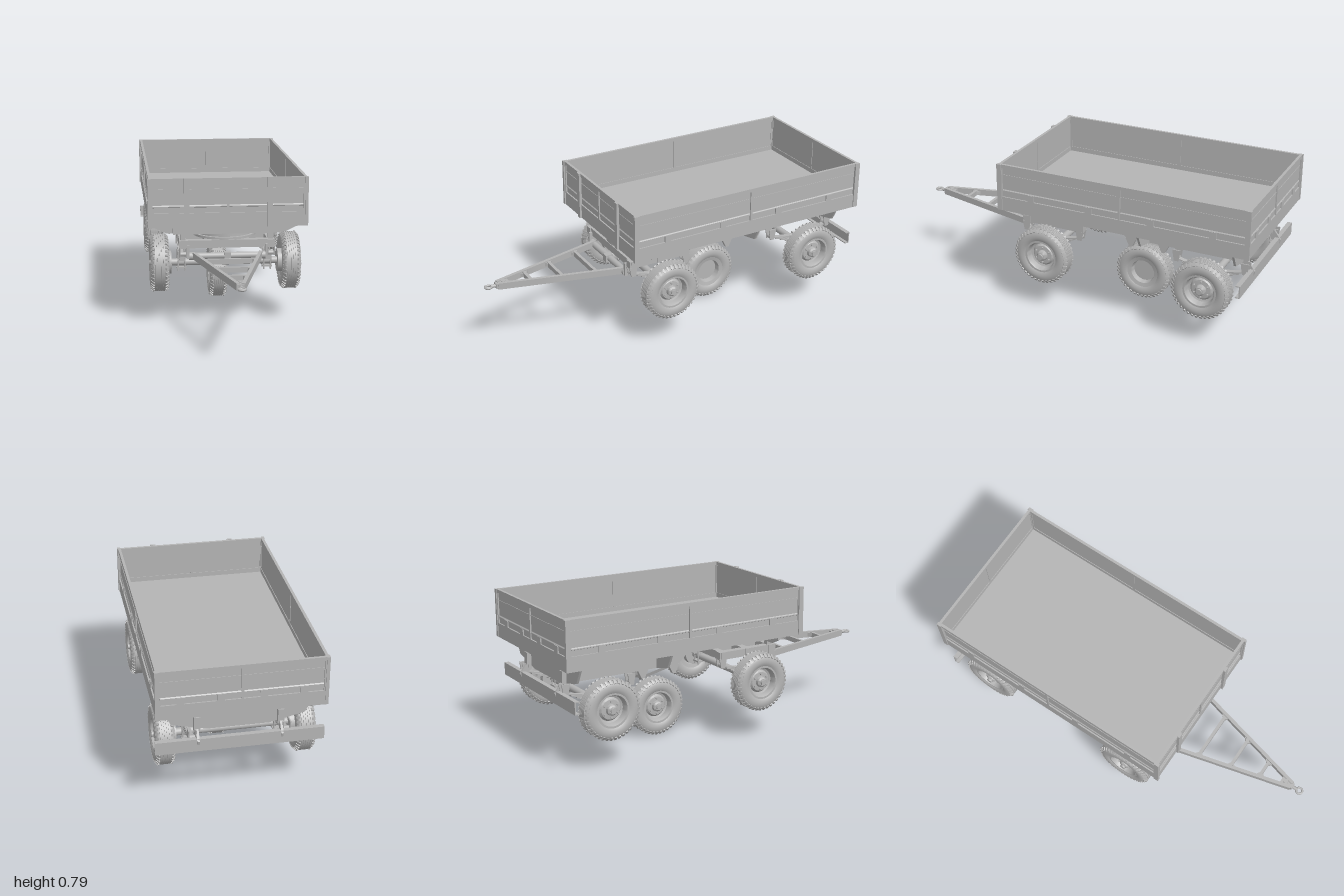
import * as THREE from 'three';
import { mergeGeometries, toCreasedNormals } from 'three/addons/utils/BufferGeometryUtils.js';

const steel = new THREE.MeshStandardMaterial({ color: 0xb4b4b4, side: THREE.DoubleSide });
steel.name = 'grey steel';

function add(parent, name, geo, x = 0, y = 0, z = 0) {
  const m = new THREE.Mesh(geo, steel);
  m.name = name;
  m.position.set(x, y, z);
  parent.add(m);
  return m;
}
const box = (p, name, w, h, d, x, y, z) => add(p, name, new THREE.BoxGeometry(w, h, d), x, y, z);
const sub = (p, name) => { const g = new THREE.Group(); g.name = name; p.add(g); return g; };

// Box beam between two points
function beam(p, name, a, b, w, h) {
  const A = new THREE.Vector3(...a), B = new THREE.Vector3(...b);
  const m = box(p, name, w, h, A.distanceTo(B), 0, 0, 0);
  m.position.copy(A).add(B).multiplyScalar(0.5);
  m.lookAt(B);
  return m;
}
// Cylinder along x, y or z
function rod(p, name, r, len, axis, x, y, z, seg = 20) {
  const g = new THREE.CylinderGeometry(r, r, len, seg);
  if (axis === 'x') g.rotateZ(Math.PI / 2);
  if (axis === 'z') g.rotateX(Math.PI / 2);
  return add(p, name, g, x, y, z);
}
const poly = pts => new THREE.Shape(pts.map(q => new THREE.Vector2(...q)));
// Outline in (z, y), thick along x
function sidePlate(p, name, pts, t, x) {
  const g = new THREE.ExtrudeGeometry(poly(pts), { depth: t, bevelEnabled: false });
  return add(p, name, g.translate(0, 0, -t / 2).rotateY(-Math.PI / 2), x);
}
// Outline in (x, y), thick along z
function crossPlate(p, name, pts, t, z) {
  const g = new THREE.ExtrudeGeometry(poly(pts), { depth: t, bevelEnabled: false });
  return add(p, name, g.translate(0, 0, -t / 2), 0, 0, z);
}

// Pressed-steel wall facing local +z, outer face at z = 0
function wall(body, name, w, x, z, turn, blocks) {
  const g = sub(body, name);
  g.position.set(x, 0, z);
  g.rotation.y = turn;
  box(g, 'wallSheet', w, 0.205, 0.004, 0, 0.682, -0.009);
  box(g, 'topRail', w, 0.018, 0.014, 0, 0.778, -0.007);
  box(g, 'bottomRail', w, 0.026, 0.014, 0, 0.597, -0.007);
  box(g, 'sill', w, 0.05, 0.012, 0, 0.56, -0.006);
  for (const s of [-1, 1]) box(g, 'endStile', 0.018, 0.25, 0.014, s * (w / 2 - 0.009), 0.661, -0.007);
  box(g, 'middleStile', 0.012, 0.16, 0.014, 0, 0.69, -0.007);
  for (const s of [-1, 1]) {
    const half = w / 2 - 0.026, cx = s * (half / 2 + 0.007);
    // Folded ridge along the lower part of each panel
    const fold = poly([[-0.011, 0.636], [-0.003, 0.64], [-0.003, 0.645], [-0.011, 0.655]]);
    const fg = new THREE.ExtrudeGeometry(fold, { depth: half, bevelEnabled: false });
    add(g, 'panelFold', fg.translate(0, 0, -half / 2).rotateY(-Math.PI / 2), cx).scale.z = 1;
    box(g, 'upperCrease', half, 0.003, 0.003, cx, 0.73, -0.006);
    if (blocks) for (const k of [-0.25, 0.25]) box(g, 'latchBlock', 0.035, 0.034, 0.01, cx + k * half, 0.627, -0.005);
  }
}

// Wheel with its axle on x and the dish towards +x
function makeWheel() {
  const g = new THREE.Group();
  g.name = 'wheel';
  const lathe = (pts, crease) => {
    const l = new THREE.LatheGeometry(pts.map(q => new THREE.Vector2(...q)), 48).rotateZ(-Math.PI / 2);
    return crease ? toCreasedNormals(l, 0.5) : l;
  };
  add(g, 'tyre', lathe([[0.082, -0.036], [0.09, -0.044], [0.108, -0.049], [0.125, -0.047], [0.139, -0.041],
    [0.145, -0.034], [0.147, -0.02], [0.147, 0.02], [0.145, 0.034], [0.139, 0.041], [0.125, 0.047],
    [0.108, 0.049], [0.09, 0.044], [0.082, 0.036]]));
  for (const x of [-0.022, -0.011, 0, 0.011, 0.022])
    add(g, 'treadRib', lathe([[0.146, x - 0.0045], [0.15, x - 0.004], [0.15, x + 0.004], [0.146, x + 0.0045]], true));
  // Shoulder lugs
  const lugs = [], n = 40;
  for (let i = 0; i < n; i++) for (const s of [-1, 1]) {
    const b = new THREE.BoxGeometry(0.022, 0.008, 0.011);
    b.rotateZ(-s * 0.85).translate(s * 0.037, 0.142, 0);
    lugs.push(b.rotateX((i + (s > 0 ? 0.5 : 0)) / n * Math.PI * 2));
  }
  add(g, 'treadLugs', mergeGeometries(lugs));
  add(g, 'rim', lathe([[0.0, -0.008], [0.06, -0.008], [0.066, -0.036], [0.088, -0.041], [0.088, -0.036],
    [0.08, -0.03], [0.08, 0.03], [0.088, 0.036], [0.088, 0.042], [0.078, 0.042], [0.072, 0.03], [0.07, 0.008],
    [0.06, 0.004], [0.05, 0.016], [0.028, 0.018], [0.026, 0.034], [0.018, 0.04], [0, 0.04]], true));
  rod(g, 'hubCap', 0.014, 0.012, 'x', 0.044, 0, 0);
  for (let i = 0; i < 6; i++) {
    const a = i / 6 * Math.PI * 2;
    rod(g, 'wheelNut', 0.005, 0.012, 'x', 0.021, Math.cos(a) * 0.041, Math.sin(a) * 0.041, 6);
  }
  return g;
}

// Axle with leaf springs, hangers and two wheels
function axleSet(root, name, z, half, top, wheel) {
  const g = sub(root, name);
  rod(g, 'axleTube', 0.019, 0.6, 'x', 0, 0.305, z);
  for (const s of [-1, 1]) {
    const w = wheel.clone();
    w.position.set(s * 0.341, 0.305, z);
    if (s < 0) w.rotation.y = Math.PI;
    g.add(w);
    rod(g, 'brakeDrum', 0.06, 0.03, 'x', s * 0.293, 0.305, z, 32);
    const x = s * 0.225;
    for (let i = 0; i < 5; i++) {
      const L = half * (1 - i * 0.17), hi = [], lo = [];
      for (let k = -6; k <= 6; k++) {
        const u = k / 6 * L, y = 0.36 - i * 0.0075 + 0.025 * (u / half) ** 2;
        hi.push([z + u, y]);
        lo.unshift([z + u, y - 0.006]);
      }
      sidePlate(g, 'springLeaf', [...hi, ...lo], 0.026, x);
    }
    box(g, 'springSeat', 0.04, 0.012, 0.06, x, 0.32, z);
    box(g, 'clampPlate', 0.05, 0.008, 0.06, x, 0.28, z);
    for (const dx of [-0.018, 0.018]) for (const dz of [-0.024, 0.024])
      rod(g, 'clampBolt', 0.004, 0.105, 'y', x + dx, 0.315, z + dz, 8);
    for (const e of [-1, 1]) {
      const c = z + e * half;
      rod(g, 'springEye', 0.012, 0.036, 'x', x, 0.383, c, 12);
      for (const dx of [-0.017, 0.017])
        sidePlate(g, 'springHanger', [[c - 0.022, top], [c - 0.012, 0.37], [c + 0.012, 0.37], [c + 0.022, top]], 0.006, x + dx);
    }
  }
}

export function createModel() {
  const root = new THREE.Group();
  root.name = 'farmTrailer';

  // Cargo box
  const body = sub(root, 'cargoBox');
  box(body, 'floor', 0.79, 0.008, 1.34, 0, 0.581, -0.318);
  wall(body, 'frontWall', 0.8, 0, 0.355, 0, false);
  wall(body, 'rearWall', 0.8, 0, -0.992, Math.PI, true);
  wall(body, 'leftWall', 1.34, 0.4, -0.318, Math.PI / 2, true);
  wall(body, 'rightWall', 1.34, -0.4, -0.318, -Math.PI / 2, true);
  for (const s of [-1, 1]) {
    box(body, 'frontPost', 0.027, 0.253, 0.014, s * 0.21, 0.662, 0.359);
    for (const z of [0.349, -0.983]) box(body, 'cornerPost', 0.016, 0.25, 0.026, s * 0.397, 0.662, z);
    box(body, 'floorRail', 0.03, 0.042, 1.32, s * 0.2, 0.556, -0.318);
  }
  for (let i = 0; i < 7; i++) box(body, 'floorJoist', 0.78, 0.035, 0.022, 0, 0.56, 0.26 - i * 0.195);

  // Stepped chassis
  const frame = sub(root, 'chassis');
  for (const s of [-1, 1]) {
    sidePlate(frame, 'chassisRail', [[0.28, 0.53], [0.28, 0.49], [-0.21, 0.49], [-0.28, 0.425], [-0.93, 0.425],
      [-0.93, 0.49], [-0.29, 0.49], [-0.24, 0.53]], 0.03, s * 0.2);
    box(frame, 'rearUpright', 0.03, 0.13, 0.022, s * 0.2, 0.475, -0.912);
    for (const z of [-0.39, -0.66]) box(frame, 'bodyMount', 0.03, 0.05, 0.038, s * 0.2, 0.511, z);
    for (const z of [-0.3, -0.48])
      sidePlate(frame, 'gusset', [[z - 0.03, 0.425], [z - 0.008, 0.38], [z + 0.008, 0.38], [z + 0.03, 0.425]], 0.02, s * 0.2);
    sidePlate(frame, 'bumperBracket', [[-0.87, 0.43], [-0.93, 0.43], [-0.965, 0.38], [-0.955, 0.34], [-0.935, 0.37]], 0.012, s * 0.2);
    beam(frame, 'diagonalBrace', [s * 0.19, 0.465, -0.29], [s * 0.03, 0.465, -0.56], 0.03, 0.03);
    beam(frame, 'diagonalBrace', [s * 0.19, 0.465, -0.86], [s * 0.03, 0.465, -0.56], 0.03, 0.03);
    rod(frame, 'frontPin', 0.008, 0.03, 'z', s * 0.355, 0.53, 0.29, 12);
  }
  box(frame, 'frontCrossbeam', 0.55, 0.042, 0.04, 0, 0.508, 0.27);
  for (const z of [0.13, -0.02, -0.18]) box(frame, 'crossbeam', 0.4, 0.038, 0.04, 0, 0.51, z);
  for (const z of [-0.29, -0.56, -0.86]) box(frame, 'crossbeam', 0.4, 0.05, 0.035, 0, 0.457, z);
  crossPlate(frame, 'frontOutrigger', [[-0.365, 0.535], [-0.365, 0.512], [-0.31, 0.485], [0.31, 0.485], [0.365, 0.512], [0.365, 0.535]], 0.012, 0.24);
  for (const z of [-0.4, -0.9])
    crossPlate(frame, 'rearOutrigger', [[-0.365, 0.535], [-0.32, 0.45], [-0.15, 0.41], [0.15, 0.41], [0.32, 0.45], [0.365, 0.535]], 0.012, z);
  // Rear bumper: shallow channel
  const bumper = sub(frame, 'rearBumper');
  box(bumper, 'bumperFace', 0.81, 0.065, 0.006, 0, 0.358, -0.957);
  for (const y of [0.328, 0.388]) box(bumper, 'bumperLip', 0.81, 0.005, 0.022, 0, y, -0.947);

  // Turntable and steering subframe
  const turn = sub(root, 'turntable');
  const ring = (name, r, y) => {
    const s = new THREE.Shape().absarc(0, 0, r, 0, Math.PI * 2);
    s.holes.push(new THREE.Path().absarc(0, 0, r - 0.03, 0, Math.PI * 2, true));
    const g = new THREE.ExtrudeGeometry(s, { depth: 0.012, bevelEnabled: false, curveSegments: 32 });
    add(turn, name, toCreasedNormals(g.rotateX(-Math.PI / 2), 0.5), 0, y, 0.13);
  };
  ring('upperRing', 0.16, 0.478);
  ring('bearingRing', 0.15, 0.468);
  ring('lowerRing', 0.165, 0.456);
  for (const s of [-1, 1]) box(turn, 'subframeRail', 0.036, 0.04, 0.35, s * 0.225, 0.436, 0.13);
  for (const z of [0.28, 0.13, -0.02]) box(turn, 'subframeCrossbeam', 0.49, 0.04, 0.035, 0, 0.436, z);
  for (const s of [-1, 1]) {
    box(turn, 'ringBearer', 0.03, 0.036, 0.3, s * 0.1, 0.438, 0.13);
    box(turn, 'topBracket', 0.026, 0.035, 0.03, s * 0.225, 0.472, 0.27);
  }

  // Axles and wheels
  const wheel = makeWheel();
  axleSet(root, 'frontAxle', 0.13, 0.155, 0.42, wheel);
  axleSet(root, 'rearAxle', -0.745, 0.18, 0.43, wheel);

  // Spare wheel hung below the frame
  const spare = sub(root, 'spareWheelCarrier');
  const sw = wheel.clone();
  sw.position.set(0, 0.153, -0.295);
  sw.rotation.y = Math.PI;
  spare.add(sw);
  rod(spare, 'carrierPost', 0.023, 0.2, 'y', 0, 0.44, -0.39);
  crossPlate(spare, 'carrierFunnel', [[-0.045, 0.36], [-0.025, 0.325], [0.025, 0.325], [0.045, 0.36]], 0.03, -0.39);
  for (const s of [-1, 1]) for (const z of [-0.3, -0.48])
    beam(spare, 'carrierStrut', [s * 0.19, 0.42, z], [s * 0.02, 0.32, -0.39], 0.014, 0.014);

  // Drawbar
  const bar = sub(root, 'drawbar');
  rod(bar, 'pivotTube', 0.017, 0.38, 'x', 0, 0.376, 0.3);
  box(bar, 'pivotBlock', 0.034, 0.04, 0.04, 0, 0.376, 0.305);
  const xAt = z => 0.17 - (z - 0.31) * 0.262;
  for (const s of [-1, 1]) {
    beam(bar, 'drawbarArm', [s * 0.17, 0.38, 0.31], [s * 0.012, 0.38, 0.93], 0.018, 0.034);
    rod(bar, 'pivotEye', 0.02, 0.03, 'x', s * 0.18, 0.376, 0.3);
    box(bar, 'pivotBracket', 0.012, 0.07, 0.04, s * 0.2, 0.4, 0.295);
    for (const z of [0.44, 0.61, 0.765]) for (const e of [-1, 1])
      beam(bar, 'cornerGusset', [s * xAt(z + e * 0.022), 0.38, z + e * 0.022], [s * (xAt(z) - 0.025), 0.38, z], 0.008, 0.02);
  }
  for (const z of [0.44, 0.61, 0.765]) box(bar, 'drawbarRung', xAt(z) * 2, 0.026, 0.016, 0, 0.38, z);
  box(bar, 'noseBlock', 0.032, 0.026, 0.07, 0, 0.38, 0.905);
  rod(bar, 'nosePin', 0.012, 0.036, 'y', 0, 0.38, 0.895);
  rod(bar, 'eyeShank', 0.009, 0.04, 'z', 0, 0.38, 0.945);
  add(bar, 'towEye', new THREE.TorusGeometry(0.016, 0.006, 10, 24).rotateX(Math.PI / 2), 0, 0.38, 0.978);
  return root;
}
